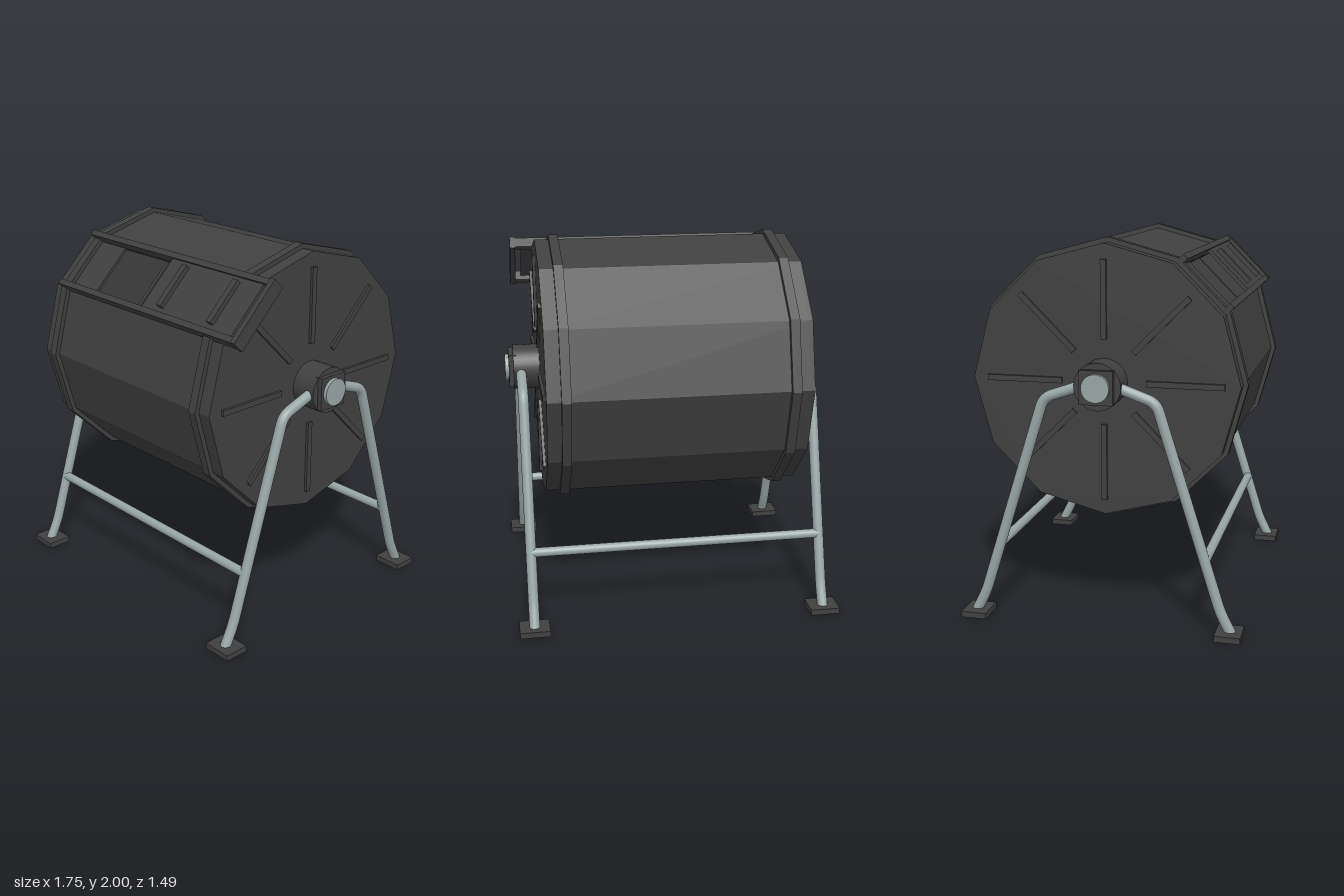
import * as THREE from 'three';

const AXIS_Y = 1.275;
const R = 0.7;
const WALL = 0.015;

export function createModel() {
  const model = new THREE.Group();
  model.name = 'compostTumbler';
  const plastic = new THREE.MeshStandardMaterial({ color: 0x404040 });
  plastic.name = 'dark plastic';
  const steel = new THREE.MeshStandardMaterial({ color: 0x98a5a5 });
  steel.name = 'grey steel';

  const add = (parent, name, geometry, material, x = 0, y = 0, z = 0) => {
    const mesh = new THREE.Mesh(geometry, material);
    mesh.name = name;
    mesh.position.set(x, y, z);
    parent.add(mesh);
    return mesh;
  };
  const box = (w, h, d) => new THREE.BoxGeometry(w, h, d);
  const rod = (r, length) => new THREE.CylinderGeometry(r, r, length, 32).rotateZ(Math.PI / 2);

  // Corners of the twelve-sided section; corner 4 to 5 is the door face
  const corners = (r, from = 0, count = 12) =>
    Array.from({ length: count }, (_, i) => {
      const a = ((from + i) * Math.PI) / 6;
      return new THREE.Vector2(Math.cos(a) * r, Math.sin(a) * r);
    });
  // Extrude a section along x, centred on x = 0
  const alongX = (shape, length) =>
    new THREE.ExtrudeGeometry(shape, { depth: length, bevelEnabled: false })
      .translate(0, 0, -length / 2)
      .rotateY(Math.PI / 2);

  // ---- Drum ----
  const drum = new THREE.Group();
  drum.name = 'drum';
  drum.position.y = AXIS_Y;
  model.add(drum);

  // Eleven closed sides as one open ring
  const ring = new THREE.Shape([...corners(R, 5), ...corners(R - WALL, 5).reverse()]);
  add(drum, 'drumWall', alongX(ring, 1.37), plastic);
  add(drum, 'divider', alongX(new THREE.Shape(corners(R - WALL)), 0.02), plastic, -0.01);

  for (const s of [-1, 1]) {
    add(drum, 'endWall', alongX(new THREE.Shape(corners(R)), 0.02), plastic, s * 0.68);
    const band = new THREE.Shape(corners(0.725));
    band.holes.push(new THREE.Path(corners(R - 0.008)));
    add(drum, 'drumBand', alongX(band, 0.05), plastic, s * 0.59);
    // Eight radial ribs on each end
    for (let i = 0; i < 8; i++) {
      const rib = box(0.03, 0.4, 0.03).translate(0, 0.42, 0).rotateX((i * Math.PI) / 4);
      add(drum, 'endRib', rib, plastic, s * 0.69);
    }
    // Hub, square collar, axle end and inner boss
    add(drum, 'hub', rod(0.122, 0.15), plastic, s * 0.755);
    add(drum, 'hubCollar', box(0.04, 0.175, 0.175), plastic, s * 0.835);
    add(drum, 'axleEnd', rod(0.072, 0.06), steel, s * 0.845);
    add(drum, 'innerBoss', rod(0.1, 0.06), plastic, s * 0.65);
  }

  // ---- Door side: local z points out of the slanted face ----
  const hatch = new THREE.Group();
  hatch.name = 'hatch';
  hatch.rotation.x = -Math.PI / 4;
  drum.add(hatch);

  const apothem = R * Math.cos(Math.PI / 12);
  const half = R * Math.sin(Math.PI / 12);
  const rect = (Type, x0, x1, h) =>
    new Type([[x0, -h], [x1, -h], [x1, h], [x0, h]].map(([x, y]) => new THREE.Vector2(x, y)));
  const face = rect(THREE.Shape, -0.685, 0.685, half);
  face.holes.push(rect(THREE.Path, -0.36, 0.36, 0.15));
  const faceGeo = new THREE.ExtrudeGeometry(face, { depth: WALL, bevelEnabled: false });
  add(hatch, 'hatchFace', faceGeo, plastic, 0, 0, apothem - WALL);

  for (const s of [-1, 1]) {
    add(hatch, 'doorRail', box(1.42, 0.032, 0.06), plastic, 0.09, s * 0.167, 0.702);
  }
  add(hatch, 'railEndStop', box(0.03, 0.37, 0.075), plastic, 0.797, 0, 0.7);
  add(hatch, 'slidingDoor', box(0.67, 0.31, 0.02), plastic, 0.415, 0, 0.711);
  for (const x of [0.215, 0.59]) {
    add(hatch, 'doorGrip', box(0.035, 0.25, 0.03), plastic, x, 0, 0.731);
  }

  // ---- Stand ----
  const stand = new THREE.Group();
  stand.name = 'stand';
  model.add(stand);

  // Bent leg path: straight runs joined by short curves
  const legPath = (sx, sz) => {
    const p = (y, z) => new THREE.Vector3(sx * 0.79, y, sz * z);
    const path = new THREE.CurvePath();
    path.add(new THREE.LineCurve3(p(1.275, 0.08), p(1.215, 0.25)));
    path.add(new THREE.QuadraticBezierCurve3(p(1.215, 0.25), p(1.2, 0.292), p(1.155, 0.307)));
    path.add(new THREE.LineCurve3(p(1.155, 0.307), p(0.17, 0.617)));
    path.add(new THREE.QuadraticBezierCurve3(p(0.17, 0.617), p(0.125, 0.632), p(0.09, 0.65)));
    path.add(new THREE.LineCurve3(p(0.09, 0.65), p(0.02, 0.685)));
    return path;
  };

  for (const sz of [-1, 1]) {
    for (const sx of [-1, 1]) {
      add(stand, 'leg', new THREE.TubeGeometry(legPath(sx, sz), 80, 0.028, 16), steel);
      add(stand, 'foot', box(0.16, 0.032, 0.135), plastic, sx * 0.79, 0.016, sz * 0.677);
    }
    add(stand, 'crossbar', rod(0.025, 1.58), steel, 0, 0.4, sz * 0.548);
  }

  return model;
}
